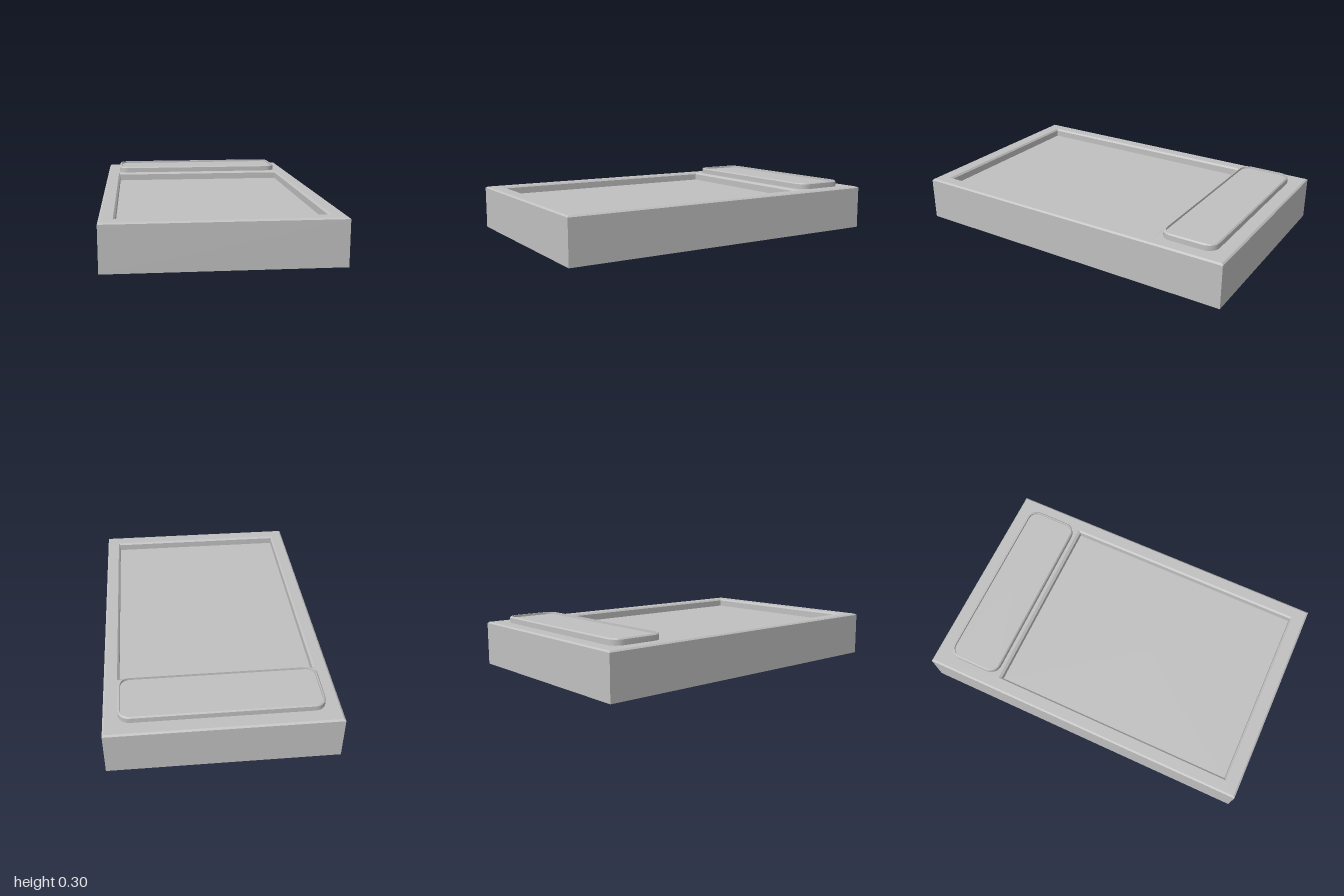
import * as THREE from 'three';
import { toCreasedNormals } from 'three/addons/utils/BufferGeometryUtils.js';

// Rectangle outline (corner radius r) at height y, counter-clockwise from above.
function outline({ hx, z0, z1, y, r = 0 }) {
  const steps = r > 0 ? 6 : 0;
  const cz = (z0 + z1) / 2, hz = (z1 - z0) / 2;
  const points = [];
  [[1, 1], [1, -1], [-1, -1], [-1, 1]].forEach(([sx, sz], corner) => {
    for (let i = 0; i <= steps; i++) {
      const a = (corner - 1 + (steps ? i / steps : 0)) * Math.PI / 2;
      points.push(new THREE.Vector3(
        sx * (hx - r) + r * Math.cos(a), y, cz + sz * (hz - r) - r * Math.sin(a)));
    }
  });
  return points;
}

// Skin a chain of outlines, closed by a cap at both ends.
function loft(sections) {
  const rings = sections.map(outline);
  const n = rings[0].length;
  const pos = [];
  const tri = (...corners) => corners.forEach((p) => pos.push(p.x, p.y, p.z));
  const centre = (s) => new THREE.Vector3(0, s.y, (s.z0 + s.z1) / 2);
  const first = centre(sections[0]), last = centre(sections.at(-1));
  for (let i = 0; i < n; i++) {
    const j = (i + 1) % n;
    for (let k = 0; k + 1 < rings.length; k++) {
      const a = rings[k], b = rings[k + 1];
      tri(a[i], a[j], b[j]);
      tri(a[i], b[j], b[i]);
    }
    tri(rings[0][j], rings[0][i], first);
    tri(rings.at(-1)[i], rings.at(-1)[j], last);
  }
  const geometry = new THREE.BufferGeometry();
  geometry.setAttribute('position', new THREE.Float32BufferAttribute(pos, 3));
  geometry.computeVertexNormals();
  return toCreasedNormals(geometry, 0.4);
}

export function createModel() {
  const model = new THREE.Group();
  model.name = 'tray';
  const grey = new THREE.MeshStandardMaterial({ color: 0xc0c0c0 });
  grey.name = 'light grey';

  const add = (name, sections) => {
    const mesh = new THREE.Mesh(loft(sections), grey);
    mesh.name = name;
    model.add(mesh);
  };

  // Solid body: chamfered top edge, then the sunken panel with its bevelled lip
  add('body', [
    { hx: 0.635, z0: -1, z1: 1, y: 0 },
    { hx: 0.635, z0: -1, z1: 1, y: 0.252 },
    { hx: 0.625, z0: -0.99, z1: 0.99, y: 0.26 },
    { hx: 0.56, z0: -0.573, z1: 0.918, y: 0.26 },
    { hx: 0.55, z0: -0.557, z1: 0.908, y: 0.25 },
    { hx: 0.55, z0: -0.557, z1: 0.908, y: 0.21 },
  ]);

  // Raised rounded pad with a chamfered rim and shallow dished top
  const pad = (inset, y) => ({
    hx: 0.555 - inset, z0: -0.915 + inset, z1: -0.593 - inset, y, r: 0.065 - inset,
  });
  add('raisedPad', [
    pad(0, 0.255), pad(0, 0.29), pad(0.007, 0.297), pad(0.013, 0.297), pad(0.014, 0.284),
  ]);

  return model;
}
